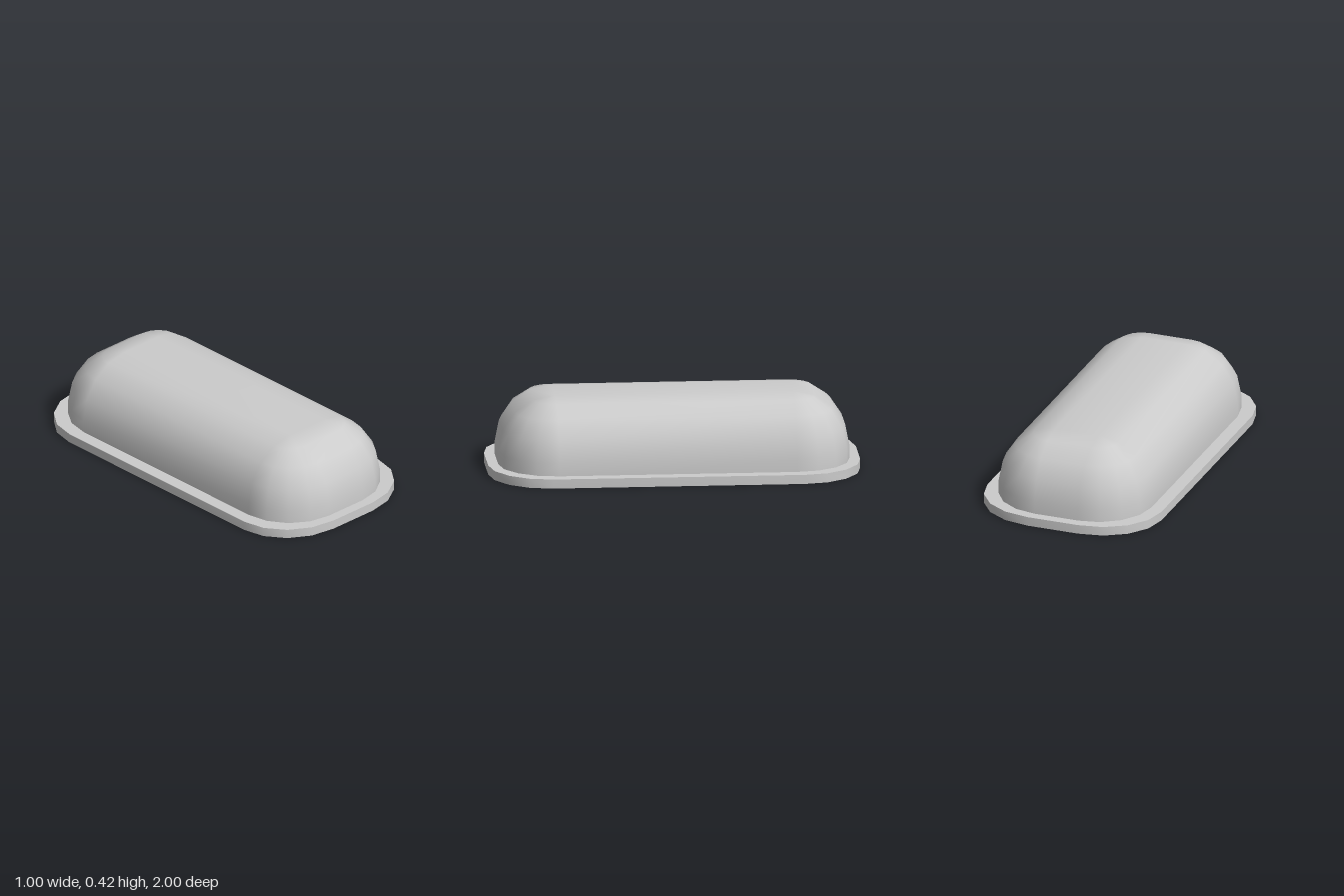
import * as THREE from 'three';
import { mergeVertices, toCreasedNormals } from 'three/addons/utils/BufferGeometryUtils.js';

const STEPS = 4; // facets per rounded corner

// Rounded-rectangle outline: corner centres at (±cx, ±cz), corner radii rx and rz
function outline(cx, cz, rx, rz) {
  const points = [];
  const signs = [[1, 1], [-1, 1], [-1, -1], [1, -1]];
  signs.forEach(([sx, sz], corner) => {
    for (let i = 0; i <= STEPS; i++) {
      const a = (corner + i / STEPS) * Math.PI / 2;
      points.push(new THREE.Vector2(sx * cx + rx * Math.cos(a), sz * cz + rz * Math.sin(a)));
    }
  });
  return points;
}

// Domed cover: stacked outlines whose corner radius shrinks along a quarter circle
function domeGeometry(cx, cz, radius, bottom, shoulder) {
  const levels = [[bottom, radius]];
  for (let i = 0; i <= STEPS; i++) {
    const a = i / STEPS * Math.PI / 2;
    levels.push([shoulder + radius * Math.sin(a), radius * Math.cos(a)]);
  }
  const positions = [], index = [];
  for (const [y, r] of levels) {
    for (const p of outline(cx, cz, r, r)) positions.push(p.x, y, p.y);
  }
  const n = 4 * (STEPS + 1);
  for (let k = 0; k < levels.length - 1; k++) {
    for (let j = 0; j < n; j++) {
      const a = k * n + j, b = k * n + (j + 1) % n;
      index.push(a, a + n, b, b, a + n, b + n);
    }
  }
  // Flat top, joining the four corner centres
  const top = (levels.length - 1) * n;
  const [p, q, r, s] = [0, 1, 2, 3].map((c) => top + c * (STEPS + 1));
  index.push(p, r, q, p, s, r);

  const raw = new THREE.BufferGeometry();
  raw.setAttribute('position', new THREE.Float32BufferAttribute(positions, 3));
  raw.setIndex(index);
  const geometry = mergeVertices(raw);
  geometry.computeVertexNormals();
  return geometry;
}

export function createModel() {
  const model = new THREE.Group();
  const grey = new THREE.MeshStandardMaterial({ color: 0xcccccc });

  // Thin base plate with rounded corners
  const shape = new THREE.Shape(outline(0.146, 0.677, 0.354, 0.323));
  const plate = new THREE.ExtrudeGeometry(shape, { depth: 0.05, bevelEnabled: false });
  plate.rotateX(-Math.PI / 2);
  const base = new THREE.Mesh(toCreasedNormals(plate, 0.6), grey);
  base.name = 'basePlate';
  model.add(base);

  // Rounded cover standing on the plate
  const cover = new THREE.Mesh(domeGeometry(0.125, 0.64, 0.304, 0.03, 0.12), grey);
  cover.name = 'domedCover';
  model.add(cover);

  return model;
}
